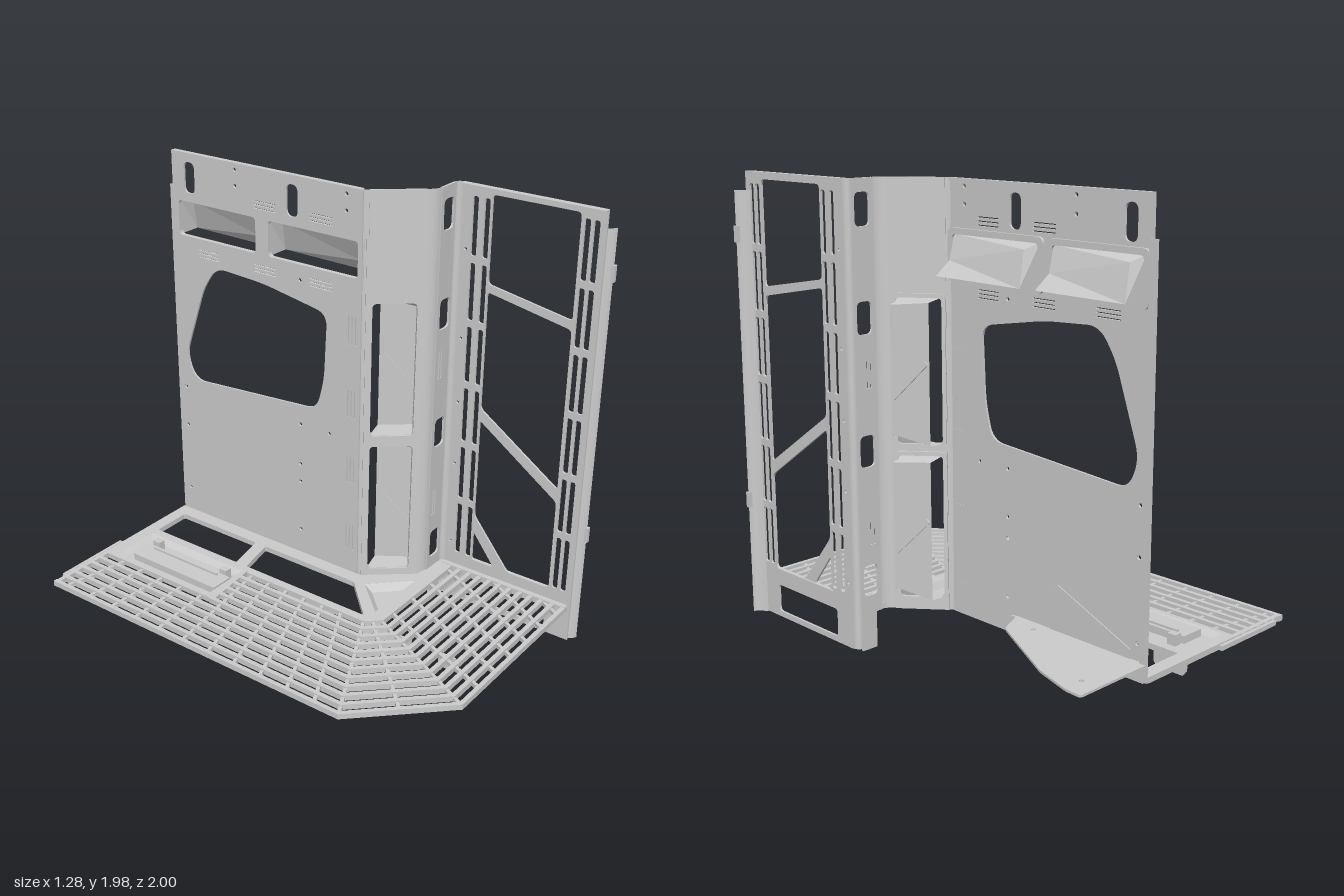
import * as THREE from 'three';

const V = (x, y, z) => new THREE.Vector3(x, y, z);
const mat = new THREE.MeshStandardMaterial({ color: 0xcccccc, side: THREE.DoubleSide });

// Closed outline with each corner rounded by up to r
function outline(pts, r, Kind = THREE.Path) {
  const path = new Kind();
  const p = pts.map(([x, y]) => new THREE.Vector2(x, y));
  p.forEach((c, i) => {
    const a = p[(i + p.length - 1) % p.length], b = p[(i + 1) % p.length];
    const toward = (q) => c.clone().lerp(q, Math.min(0.49, r / c.distanceTo(q)));
    const s = toward(a), e = toward(b);
    if (i) path.lineTo(s.x, s.y); else path.moveTo(s.x, s.y);
    if (r) path.quadraticCurveTo(c.x, c.y, e.x, e.y);
  });
  path.closePath();
  return path;
}
const rect = (u0, v0, u1, v1) => [[u0, v0], [u1, v0], [u1, v1], [u0, v1]];
const slot = (u0, v0, u1, v1, r = 0.02) => outline(rect(u0, v0, u1, v1), r);
const dot = (u, v, r = 0.009) => new THREE.Path().absarc(u, v, r, 0, Math.PI * 2);

// Sheet of thickness t lying in the plane spanned by u and v
function sheet(name, pts, holes, origin, u, v, t = 0.01, r = 0) {
  const shape = outline(pts, r, THREE.Shape);
  shape.holes.push(...holes);
  const g = new THREE.ExtrudeGeometry(shape, { depth: t, bevelEnabled: false, curveSegments: 6 });
  g.translate(0, 0, -t / 2);
  g.applyMatrix4(new THREE.Matrix4().makeBasis(u, v, u.clone().cross(v)).setPosition(origin));
  return named(g, name);
}
function named(g, name) {
  const m = new THREE.Mesh(g, mat);
  m.name = name;
  return m;
}
const X = V(1, 0, 0), Y = V(0, 1, 0), Z = V(0, 0, 1);
const wall = (name, pts, holes, x, t, r) => sheet(name, pts, holes, V(x, 0, 0), Z, Y, t, r);
const deck = (name, pts, holes, y, t, r) => sheet(name, pts, holes, V(0, y, 0), X, Z, t, r);

function box(name, x0, x1, y0, y1, z0, z1) {
  const g = new THREE.BoxGeometry(x1 - x0, y1 - y0, z1 - z0);
  g.translate((x0 + x1) / 2, (y0 + y1) / 2, (z0 + z1) / 2);
  return named(g, name);
}
// Upright flat bar between two plan points [x, z]
function bar(name, a, b, y, w, h) {
  const dx = b[0] - a[0], dz = b[1] - a[1];
  const m = named(new THREE.BoxGeometry(Math.hypot(dx, dz) + w * 0.5, h, w), name);
  m.position.set((a[0] + b[0]) / 2, y, (a[1] + b[1]) / 2);
  m.rotation.y = -Math.atan2(dz, dx);
  return m;
}
// Smooth bent strip: quadratic plan curve a-b-c raised from y0 to y1
function bend(name, a, b, c, y0, y1) {
  const curve = new THREE.QuadraticBezierCurve(...[a, b, c].map((p) => new THREE.Vector2(...p)));
  const n = 8, pos = [], idx = [];
  curve.getPoints(n).forEach((p) => pos.push(p.x, y0, p.y, p.x, y1, p.y));
  for (let i = 0; i < n; i++) {
    const k = i * 2;
    idx.push(k, k + 1, k + 2, k + 1, k + 3, k + 2);
  }
  const g = new THREE.BufferGeometry();
  g.setAttribute('position', new THREE.Float32BufferAttribute(pos, 3));
  g.setIndex(idx);
  g.computeVertexNormals();
  return named(g, name);
}
// Tray with an open rim and a closed floor, joined by flat sides; one side may stay open
function tray(name, rim, floor, openSide = -1) {
  const pos = [], tri = (...ps) => ps.forEach((p) => pos.push(...p));
  const n = rim.length;
  for (let i = 0; i < n; i++) {
    const j = (i + 1) % n;
    if (i !== openSide) tri(rim[i], rim[j], floor[j], rim[i], floor[j], floor[i]);
    if (i > 1) tri(floor[0], floor[i - 1], floor[i]);
  }
  const g = new THREE.BufferGeometry();
  g.setAttribute('position', new THREE.Float32BufferAttribute(pos, 3));
  g.computeVertexNormals();
  return named(g, name);
}
const atHeight = (pts, y) => pts.map(([x, z]) => [x, y, z]);

export function createModel() {
  const model = new THREE.Group();
  const add = (...m) => model.add(...m);

  // Rear side wall with window, bins, louvres and bolt holes
  const bins = [[-0.42, 0.05], [-0.93, -0.49]];
  const holes = [
    outline([[-0.105, 1.41], [-0.45, 1.47], [-0.72, 1.485], [-0.8, 1.37], [-0.92, 1.02], [-0.87, 0.9], [-0.16, 0.95], [-0.12, 1.1]], 0.06),
    slot(-0.32, 1.8, -0.26, 1.94, 0.03), slot(-0.89, 1.8, -0.83, 1.94, 0.03),
    ...bins.map(([a, b]) => slot(a, 1.6, b, 1.76)),
  ];
  for (let k = 0; k < 3; k++) {
    for (const y of [0.3, 0.64, 0.96, 1.3]) holes.push(slot(0.005 + k * 0.018, y, 0.011 + k * 0.018, y + 0.13, 0.002));
    for (const z of [-0.2, -0.5, -0.82]) {
      holes.push(slot(z, 1.515 + k * 0.016, z + 0.12, 1.52 + k * 0.016, 0.002));
      if (z > -0.8) holes.push(slot(z, 1.8 + k * 0.016, z + 0.12, 1.805 + k * 0.016, 0.002));
    }
  }
  for (const [z, y] of [[-0.25, 0.31], [-0.25, 0.56], [-0.25, 0.65], [-0.25, 0.85], [-0.09, 0.85], [-0.93, 0.31],
    [-0.93, 0.65], [-0.93, 0.85], [-0.01, 1.95], [-0.01, 1.88], [-0.6, 1.95], [-0.6, 1.88], [-0.25, 1.53]]) holes.push(dot(z, y));
  add(wall('rearSideWall', rect(-0.96, 0.16, 0.07, 1.98), holes, 0.24));
  add(wall('rearEdgeStrip', rect(-0.985, 0.17, -0.95, 1.82), [], 0.25));
  add(box('wallTopFlange', 0.245, 0.26, 1.97, 1.98, -0.96, 0.06));
  add(wall('wallCoverPlate', [[-0.49, 0.24], [-0.49, 0.42], [-0.53, 0.435], [-0.9, 0.28], [-0.9, 0.24]], [], 0.246, 0.006));

  // Upper bins: hoods bulging outward, open below, each in a raised rim
  for (const [a, b] of bins) {
    add(wall('binRim', rect(a - 0.025, 1.57, b + 0.025, 1.785), [slot(a, 1.6, b, 1.76)], 0.25, 0.015, 0.03));
    add(tray('upperBin',
      [[0.245, 1.6, a], [0.245, 1.6, b], [0.245, 1.76, b], [0.245, 1.76, a]],
      [[0.355, 1.6, a], [0.345, 1.6, b], [0.29, 1.66, b - 0.02], [0.31, 1.74, a + 0.02]], 0));
  }

  // Slanted wall with two storage pockets, open at the rear edge, and an inner cover sheet
  const D = V(0.145, 0, 0.175).normalize();
  const N = D.clone().cross(Y), start = V(0.255, 0, 0.09);
  const pockets = [[0.22, 0.84], [0.89, 1.5]];
  const openings = () => pockets.map(([a, b]) => slot(0.018, a, 0.205, b));
  add(sheet('slantedWall', rect(0, 0.16, 0.23, 1.98), openings(), start, D, Y));
  const inner = start.clone().addScaledVector(N, 0.012), outer = start.clone().addScaledVector(N, -0.01);
  add(sheet('slantedCover', [[-0.01, 0.19], [0.24, 0.19], [0.24, 1.56], [-0.01, 1.79]], openings(), inner, D, Y));
  for (const [a, b] of pockets) {
    add(sheet('pocketRim', rect(0.002, a - 0.018, 0.221, b + 0.018), [slot(0.018, a, 0.205, b)], outer, D, Y, 0.01, 0.03));
    const p = start.clone().addScaledVector(D, 0.018), q = start.clone().addScaledVector(D, 0.205);
    add(tray('sidePocket',
      [[p.x, a, p.z], [q.x, a, q.z], [q.x, b, q.z], [p.x, b, p.z]],
      [[0.355, a + 0.01, 0.085], [0.412, a + 0.04, 0.255], [0.412, b - 0.03, 0.255], [0.355, b - 0.01, 0.085]], 3));
    const rib = bar('pocketRib', [0.352, 0.066], [0.421, 0.274], (a + b) / 2 - 0.03, 0.012, 0.02);
    rib.rotateZ(-0.79);
    add(rib);
  }

  // Bends joining the wall sections
  add(bend('rearBend', [0.24, 0.06], [0.24, 0.075], [0.255, 0.09], 0.16, 1.98));
  add(bend('innerBend', [0.4, 0.265], [0.425, 0.3], [0.46, 0.3], 0.16, 1.98));
  add(bend('outerBend', [0.56, 0.3], [0.585, 0.3], [0.585, 0.33], 0.01, 1.98));

  // Narrow cross wall with cut-outs
  const cuts = [0.24, 0.8, 1.355, 1.79].map((y) => slot(0.475, y, 0.55, y + 0.135, 0.025));
  for (const y of [0.46, 1.13]) for (const x of [0.48, 0.498]) cuts.push(slot(x, y, x + 0.009, y + 0.13, 0.003));
  add(sheet('crossWall', [[0.455, 0.16], [0.485, 0.16], [0.485, 0], [0.562, 0], [0.562, 1.98], [0.455, 1.98]], cuts, V(0, 0, 0.3), X, Y));

  // Open front frame with diagonal braces and slotted uprights
  const gaps = [
    [[0.86, 1.5], [0.465, 1.57], [0.465, 1.95], [0.86, 1.95]],
    [[0.86, 0.73], [0.465, 1.0], [0.465, 1.535], [0.86, 1.46]],
    [[0.86, 0.24], [0.65, 0.24], [0.465, 0.47], [0.465, 0.945], [0.86, 0.67]],
    [[0.58, 0.24], [0.465, 0.24], [0.465, 0.39]],
    rect(0.43, 0.035, 0.85, 0.16),
  ].map((p) => outline(p, 0.02));
  for (let i = 0; i < 6; i++) {
    const y = 0.25 + i * 0.285;
    for (const z of [0.915, 0.875, 0.43, 0.375]) gaps.push(slot(z, y, z + 0.026, y + 0.255, 0.012));
  }
  for (const y of [0.3, 0.7, 1.0, 1.3, 1.7]) gaps.push(dot(0.35, y, 0.007));
  add(wall('frontFrame', rect(0.325, 0.01, 0.97, 1.98), gaps, 0.585));
  add(box('frameTopFlange', 0.56, 0.59, 1.97, 1.98, 0.33, 0.97));
  add(bend('hingeStrip', [0.59, 0.94], [0.61, 0.985], [0.635, 0.99], 0.005, 1.9));
  for (const y of [0.5, 1.68]) add(box('hinge', 0.622, 0.64, y, y + 0.07, 0.98, 1.0));
  add(box('frameSill', 0.588, 0.598, 0.17, 0.24, 0.45, 0.85));

  // Floor frame with two hatch openings, sunk panel and corner well
  const well = [[0.185, 0.15], [0.03, 0.315], [0.345, 0.315]];
  const recess = rect(-0.305, -0.925, -0.06, -0.36);
  add(deck('floorFrame',
    [[-0.32, -0.98], [0.235, -0.98], [0.235, 0.09], [0.4, 0.29], [0.575, 0.31], [0.575, 0.37], [0, 0.37], [-0.05, 0.31], [-0.05, -0.34], [-0.32, -0.31]],
    [outline([[-0.02, -0.92], [0.17, -0.92], [0.17, -0.47], [-0.02, -0.43]], 0.01),
      outline([[-0.02, -0.37], [0.17, -0.41], [0.17, 0.1], [-0.02, 0.29]], 0.01),
      outline(recess, 0), outline(well, 0)], 0.175, 0.025));
  add(tray('sunkPanel', atHeight(recess, 0.187), atHeight(rect(-0.28, -0.9, -0.085, -0.385), 0.164)));
  add(tray('cornerWell', atHeight(well, 0.187), atHeight([[0.185, 0.19], [0.08, 0.3], [0.29, 0.3]], 0.158)));
  add(box('floorLocker', -0.26, -0.15, 0.165, 0.197, -0.85, -0.36));
  for (const z of [-0.82, -0.41]) add(box('lockerLatch', -0.14, -0.105, 0.164, 0.212, z - 0.02, z + 0.02));
  add(bar('lockerHandle', [-0.17, -0.8], [-0.17, -0.42], 0.201, 0.012, 0.012));

  // Grating: nested bars that follow the chamfered outline
  const grating = new THREE.Group();
  grating.name = 'floorGrating';
  const mix = THREE.MathUtils.lerp;
  for (let i = 0; i < 12; i++) {
    const t = i / 11, x = mix(-0.63, -0.05, t);
    const path = [[x, x > -0.32 ? -0.33 : -0.98], [x, mix(0.6, 0.31, t)], [mix(-0.29, 0, t), mix(0.95, 0.37, t)], [0.57, mix(0.95, 0.37, t)]];
    for (let k = 0; k < 3; k++) grating.add(bar('gratingBar', path[k], path[k + 1], 0.175, 0.02, 0.025));
  }
  const tie = (a, b) => grating.add(bar('gratingTie', a, b, 0.172, 0.015, 0.018));
  for (let i = 0; i < 11; i++) {
    const z = -0.92 + 0.14 * i, s = 0.2 - 0.07 * i;
    const end = z + 0.58 * s < -0.31 ? -0.31 : -0.05;
    tie([-0.63, z], [end, z + s * (end + 0.63)]);
  }
  tie([-0.63, 0.6], [-0.05, 0.31]);
  tie([-0.46, 0.77], [-0.025, 0.34]);
  tie([-0.29, 0.95], [0, 0.37]);
  for (let i = 0; i < 6; i++) {
    const x = -0.15 + 0.13 * i, dx = 0.23 + 0.02 * i, f = Math.min(1, (0.56 - x) / dx);
    tie([x, 0.95], [x + dx * f, 0.95 - 0.58 * f]);
  }
  grating.add(bar('gratingEdge', [-0.63, -0.97], [-0.31, -0.97], 0.175, 0.02, 0.025));
  grating.add(bar('gratingEdge', [0.565, 0.33], [0.565, 0.95], 0.175, 0.025, 0.03));
  add(grating);
  add(box('rearClipRail', -0.57, -0.2, 0.165, 0.185, -1, -0.985));

  // Hanging brackets under the floor edge, two with a foot below the hatches
  for (const [a, b] of [[-0.96, -0.8], [-0.47, -0.32], [-0.62, -0.47], [-0.18, 0.12], [0.46, 0.54], [0.68, 0.76]]) {
    const [c, d] = [a + 0.015, b - 0.015];
    add(wall('floorBracket', [[a, 0.165], [a, 0.12], [c, 0.1], [d, 0.1], [b, 0.12], [b, 0.165]], [], -0.025));
  }
  for (const [a, b] of [[-0.61, -0.52], [-0.18, 0.1]]) {
    add(deck('bracketFoot', rect(-0.025, a, 0.035, b), [dot(0.015, (a + b) / 2)], 0.1, 0.01));
  }

  // Outer rear shelf with its mounting lip
  add(deck('outerShelf', [[0.24, -0.98], [0.615, -0.98], [0.61, -0.9], [0.56, -0.73], [0.37, -0.36], [0.24, -0.3]],
    [dot(0.52, -0.9, 0.01), dot(0.3, -0.45, 0.01)], 0.237, 0.01, 0.015));
  add(box('shelfLip', 0.245, 0.255, 0.165, 0.24, -0.97, -0.28));
  return model;
}
